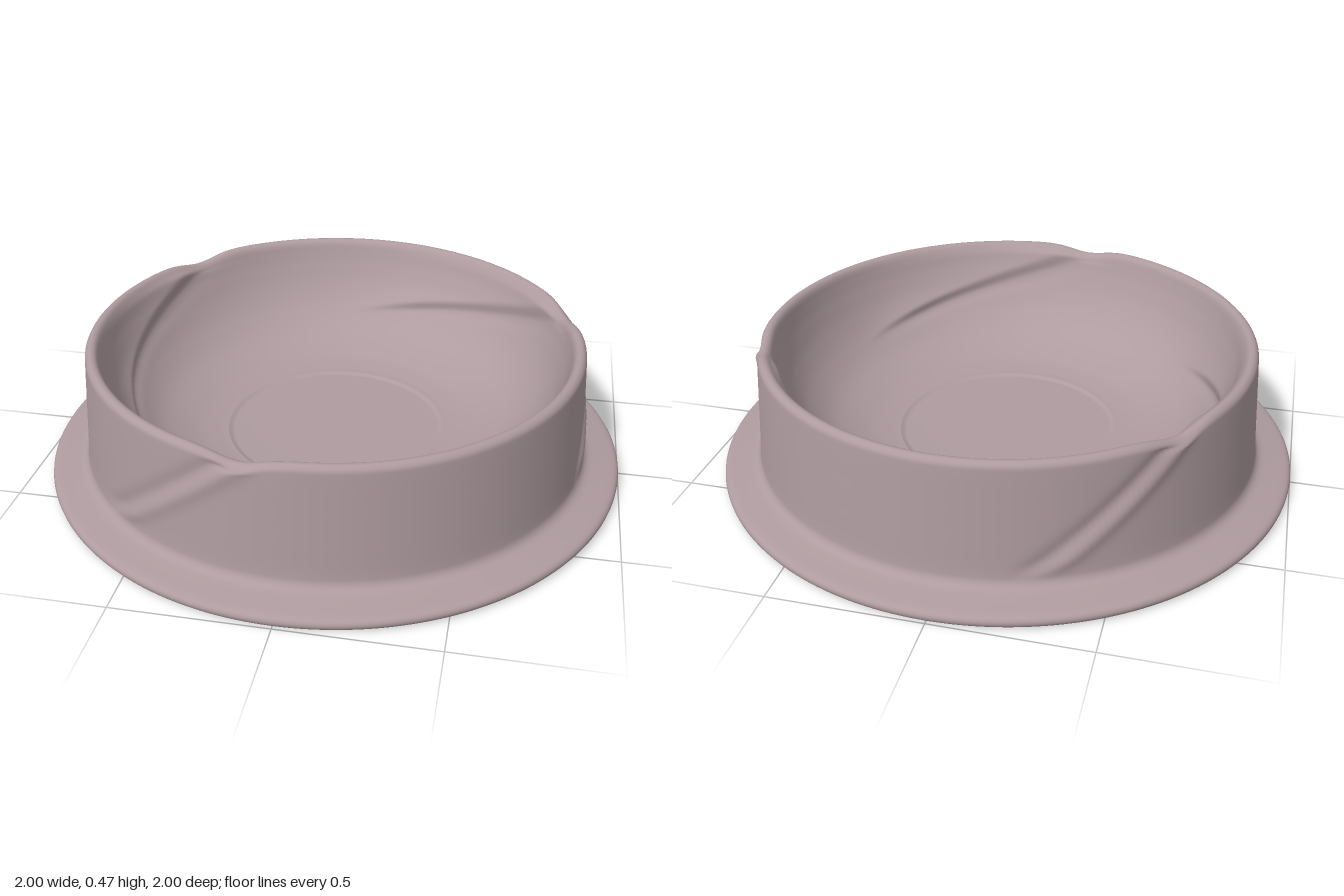
import * as THREE from 'three';

const DEG = Math.PI / 180;
const { smoothstep } = THREE.MathUtils;
const gauss = (x, w) => Math.exp(-((x / w) ** 2));

// Smooth curve through a few [radius, height] points, evenly resampled
function profile(points, count) {
  const curve = new THREE.SplineCurve(points.map(([r, y]) => new THREE.Vector2(r, y)));
  curve.arcLengthDivisions = 2000;
  return curve.getSpacedPoints(count);
}

// Revolves a profile, letting a rule shift each [radius, height] by its angle
function revolve(pts, sides, rule = (r, y) => [r, y]) {
  const positions = [], index = [];
  pts.forEach((p, i) => {
    for (let j = 0; j < sides; j++) {
      const angle = (j / sides) * Math.PI * 2;
      const [r, y] = rule(p.x, p.y, angle / DEG);
      positions.push(r * Math.sin(angle), y, r * Math.cos(angle));
      if (i === pts.length - 1) continue;
      const a = i * sides + j, b = i * sides + ((j + 1) % sides);
      index.push(a, b, a + sides, b, b + sides, a + sides);
    }
  });
  const geometry = new THREE.BufferGeometry();
  geometry.setAttribute('position', new THREE.Float32BufferAttribute(positions, 3));
  geometry.setIndex(index);
  geometry.computeVertexNormals();
  return geometry;
}

// Three swirling folds: each climbs the wall, dips the rim and sinks into the bowl
function swirl(r, y, degrees) {
  // angle from the nearest rim dip, which sit at -10, 110 and 230 degrees
  const phi = ((degrees + 10 + 35) % 120) - 35;
  const dip = 0.024 * gauss(phi - 1, 6.5) * smoothstep(y, 0.4, 0.46);
  if (r >= 0.825) {
    // slanted groove with a proud edge on the outer wall
    const crease = (-32 * (0.45 - y)) / 0.37;
    const d = (phi - crease) * DEG * 0.86 * 0.66;
    const fade = smoothstep(y, 0.07, 0.14) * (1 - smoothstep(y, 0.43, 0.465));
    const shift = -0.009 * gauss(d + 0.02, 0.03) + 0.009 * gauss(d - 0.025, 0.03);
    return [r + shift * fade, y - dip];
  }
  // overhanging fold that spirals down the inside
  const s = r - (0.8 - (0.12 * (phi - 5)) / 70);
  const fade = smoothstep(phi, -8, 12) * (1 - smoothstep(phi, 50, 78)) * (1 - smoothstep(y, 0.42, 0.46));
  const shift = 0.02 * smoothstep(s, -0.008, 0.008) * Math.exp(-Math.max(s, 0) / 0.05)
    - 0.005 * gauss(s + 0.015, 0.015);
  return [r - 0.8 * shift * fade, y + 0.6 * shift * fade - dip];
}

export function createModel() {
  const model = new THREE.Group();
  const mauve = new THREE.MeshStandardMaterial({ color: 0xae9b9f });
  mauve.name = 'dusty mauve';

  const add = (name, geometry) => {
    const mesh = new THREE.Mesh(geometry, mauve);
    mesh.name = name;
    model.add(mesh);
    return mesh;
  };

  // Flange, outer wall, rolled rim and bowl as one continuous skin
  const skin = profile([
    [0.975, 0], [0.992, 0.005], [1, 0.018], [0.996, 0.032], [0.98, 0.04],
    [0.93, 0.049], [0.895, 0.057], [0.878, 0.072], [0.872, 0.1],
    [0.865, 0.2], [0.857, 0.32], [0.849, 0.435], [0.845, 0.454], [0.834, 0.464],
    [0.825, 0.465], [0.814, 0.461], [0.805, 0.447], [0.797, 0.42],
    [0.78, 0.37], [0.745, 0.295], [0.69, 0.22], [0.61, 0.155],
    [0.5, 0.11], [0.42, 0.094], [0.385, 0.091],
  ], 170);
  add('bowlAndFlange', revolve(skin, 300, swirl));

  // Slightly sunken flat floor
  const floor = [[0.385, 0.091], [0.378, 0.089], [0.372, 0.085], [0.364, 0.084], [0.2, 0.084], [0.0001, 0.084]];
  add('bowlFloor', revolve(floor.map(([r, y]) => new THREE.Vector2(r, y)), 300));

  // Underside of the bowl, rising into the hollow skirt
  const belly = profile([
    [0.0001, 0.05], [0.2, 0.05], [0.36, 0.052], [0.5, 0.073], [0.62, 0.122],
    [0.71, 0.19], [0.77, 0.27], [0.8, 0.35], [0.811, 0.39], [0.82, 0.4],
    [0.829, 0.39], [0.834, 0.3], [0.84, 0.2], [0.847, 0.08],
    [0.853, 0.04], [0.87, 0.022], [0.91, 0.016], [0.945, 0.008], [0.975, 0],
  ], 70);
  add('hollowUnderside', revolve(belly, 150));

  return model;
}
